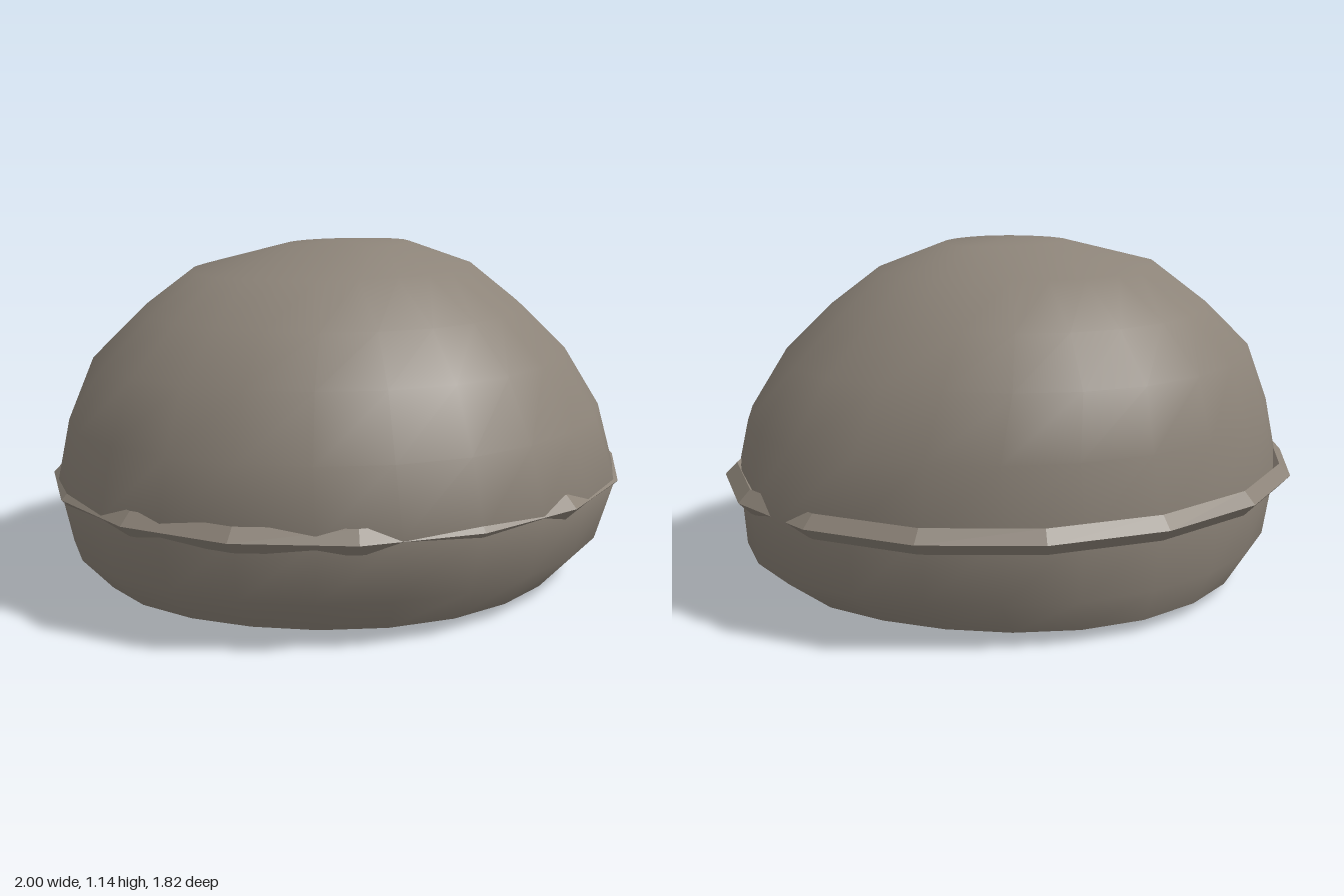
import * as THREE from 'three';

const SEGMENTS = 24;

// Rock cross-sections from the base up: y, x min, x max, z min, z max
const ROWS = [
  [0.04, -0.84, 0.81, -0.79, 0.75],
  [0.15, -0.94, 0.94, -0.84, 0.83],
  [0.36, -0.985, 0.95, -0.86, 0.9],
  [0.57, -0.94, 0.92, -0.82, 0.83],
  [0.77, -0.85, 0.8, -0.78, 0.74],
  [0.92, -0.69, 0.64, -0.64, 0.6],
  [1.05, -0.52, 0.48, -0.45, 0.39],
  [1.13, -0.2, 0.25, -0.15, 0.21],
];

// Bulges where the rock swallows the band: angle in degrees, amount
const BULGES = [[-15, 0.055], [36, 0.05], [52, 0.04]];

function rockPoint([y, x0, x1, z0, z1], i) {
  const a = (i / SEGMENTS) * Math.PI * 2;
  const c = Math.cos(a), s = Math.sin(a);
  let k = 1 - 0.025 * Math.sin(2 * a) ** 2;
  const nearBand = Math.exp(-(((y - 0.36) / 0.25) ** 2));
  for (const [deg, amount] of BULGES) {
    let d = (a * 180) / Math.PI - deg;
    d = ((d + 540) % 360) - 180;
    k += amount * nearBand * Math.exp(-((d / 10) ** 2));
  }
  return [c * (c < 0 ? -x0 : x1) * k, y, s * (s < 0 ? -z0 : z1) * k];
}

function meshFrom(points, index, material, name) {
  const g = new THREE.BufferGeometry();
  g.setAttribute('position', new THREE.Float32BufferAttribute(points, 3));
  g.setIndex(index);
  g.computeVertexNormals();
  const mesh = new THREE.Mesh(g, material);
  mesh.name = name;
  return mesh;
}

export function createModel() {
  const model = new THREE.Group();
  model.name = 'bandedBoulder';
  const stone = new THREE.MeshStandardMaterial({ color: 0x8c8378 });
  stone.name = 'warm grey stone';

  // Smooth domed rock, closed by a point at the crown
  const points = [], index = [];
  for (const row of ROWS) for (let i = 0; i < SEGMENTS; i++) points.push(...rockPoint(row, i));
  const crown = ROWS.length * SEGMENTS;
  points.push(0, 1.14, 0);
  for (let r = 0; r < ROWS.length; r++) {
    for (let i = 0; i < SEGMENTS; i++) {
      const a = r * SEGMENTS + i;
      const b = r * SEGMENTS + ((i + 1) % SEGMENTS);
      if (r === ROWS.length - 1) index.push(a, crown, b);
      else index.push(a, a + SEGMENTS, b, b, a + SEGMENTS, b + SEGMENTS);
    }
  }
  model.add(meshFrom(points, index, stone, 'rockBody'));

  // Almost flat underside with a sharp rim
  const basePoints = [0, 0, 0], baseIndex = [];
  for (let i = 0; i < SEGMENTS; i++) {
    basePoints.push(...rockPoint(ROWS[0], i));
    baseIndex.push(0, i + 1, ((i + 1) % SEGMENTS) + 1);
  }
  model.add(meshFrom(basePoints, baseIndex, stone, 'rockUnderside'));

  // Thin faceted band of diamond section around the rock
  const bandGeometry = new THREE.TorusGeometry(0.96, 0.04, 4, 16, Math.PI * 2)
    .rotateX(Math.PI / 2)
    .scale(1, 1, 0.91)
    .toNonIndexed();
  bandGeometry.computeVertexNormals();
  const band = new THREE.Mesh(bandGeometry, stone);
  band.name = 'band';
  band.position.y = 0.36;
  model.add(band);

  return model;
}
